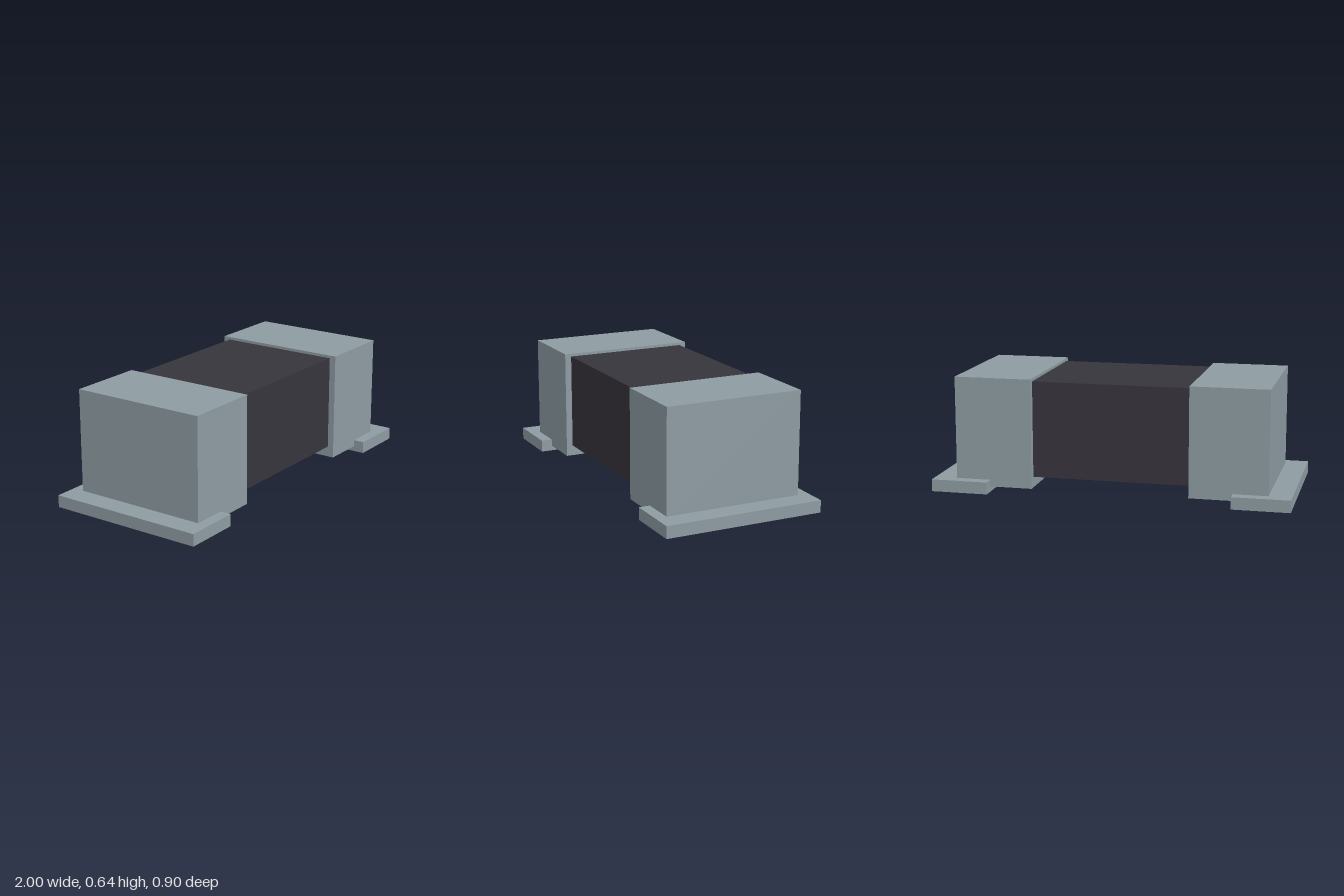
import * as THREE from 'three';

const metal = new THREE.MeshStandardMaterial({ color: 0x8e9ca3 });
metal.name = 'greyMetal';
const ceramic = new THREE.MeshStandardMaterial({ color: 0x37353c });
ceramic.name = 'darkCeramic';

// Box given by its extents in x and y and its full depth, centred on z = 0
function block(name, x0, x1, y0, y1, depth, material) {
  const mesh = new THREE.Mesh(new THREE.BoxGeometry(x1 - x0, y1 - y0, depth), material);
  mesh.position.set((x0 + x1) / 2, (y0 + y1) / 2, 0);
  mesh.name = name;
  return mesh;
}

export function createModel() {
  const model = new THREE.Group();
  model.name = 'chipComponent';

  // Dark body between the end caps
  model.add(block('body', -0.45, 0.45, 0.09, 0.627, 0.704, ceramic));

  // Metal end cap and solder pad on each side
  for (const [side, s] of [['left', 1], ['right', -1]]) {
    const cap = block(side + 'EndCap', 0.44, 0.874, 0.03, 0.643, 0.778, metal);
    const pad = block(side + 'SolderPad', 0.68, 1, 0, 0.068, 0.905, metal);
    cap.position.x *= s;
    pad.position.x *= s;
    model.add(cap, pad);
  }
  return model;
}
